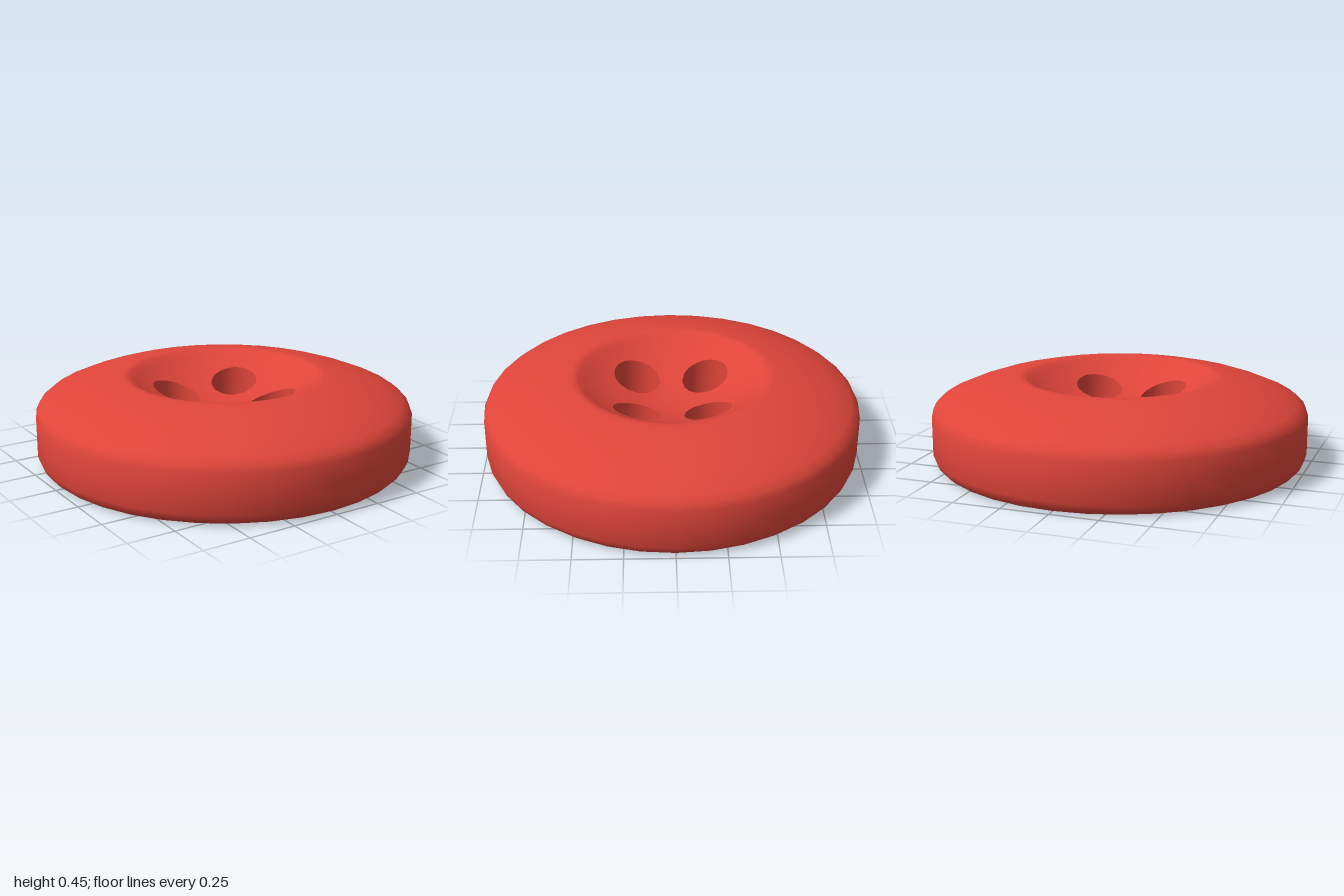
import * as THREE from 'three';
import { mergeGeometries, mergeVertices, toCreasedNormals } from 'three/addons/utils/BufferGeometryUtils.js';

const DISH_R = 0.46;      // radius where the drilled centre meets the rim
const HOLE_C = 0.185;     // hole centre offset along x and z
const HOLE_R = 0.125;

// Height of the spherical dish in the top face
const dishY = (r) => 0.28 + 0.82 - Math.sqrt(0.82 * 0.82 - r * r);

// Turned rim: underside, rounded edge, sloping top and lip of the dish
function rimGeometry() {
  const profile = [
    [DISH_R, 0], [0.94, 0], [0.965, 0.006], [0.985, 0.025], [1, 0.06],
    [1, 0.165], [1, 0.27], [0.985, 0.303], [0.95, 0.332], [0.85, 0.375],
    [0.75, 0.409], [0.64, 0.436], [0.54, 0.453], [0.515, 0.454], [0.495, 0.445],
    [DISH_R, dishY(DISH_R)],
  ].map(([r, y]) => new THREE.Vector2(r, y));
  const g = new THREE.LatheGeometry(profile, 36);
  g.deleteAttribute('uv');
  g.deleteAttribute('normal');
  return g;
}

// One quarter of the centre: dish, hole wall and underside as one strip of loops
function quarterGeometry() {
  const edge = [];
  for (let i = 0; i <= 9; i++) {
    const a = (i * Math.PI) / 18;
    edge.push([DISH_R * Math.cos(a), DISH_R * Math.sin(a)]);
  }
  for (let i = 1; i <= 5; i++) edge.push([0, DISH_R * (1 - i / 5)]);
  for (let i = 1; i <= 4; i++) edge.push([DISH_R * (i / 5), 0]);

  const loops = [];
  for (const t of [1, 0.75, 0.5, 0.25, 0]) loops.push({ t, top: true });
  for (const t of [0, 0.5, 1]) loops.push({ t, top: false });

  const n = edge.length, pos = [], index = [];
  loops.forEach(({ t, top }, k) => {
    edge.forEach(([ex, ez], i) => {
      const a = Math.atan2(ez - HOLE_C, ex - HOLE_C);
      const x = THREE.MathUtils.lerp(HOLE_C + HOLE_R * Math.cos(a), ex, t);
      const z = THREE.MathUtils.lerp(HOLE_C + HOLE_R * Math.sin(a), ez, t);
      pos.push(x, top ? dishY(Math.hypot(x, z)) : 0, z);
      if (k === loops.length - 1) return;
      const p = k * n + i, q = k * n + ((i + 1) % n);
      index.push(p, p + n, q, q, p + n, q + n);
    });
  });
  const g = new THREE.BufferGeometry();
  g.setAttribute('position', new THREE.Float32BufferAttribute(pos, 3));
  g.setIndex(index);
  return g;
}

export function createModel() {
  const parts = [rimGeometry()];
  for (let i = 0; i < 4; i++) parts.push(quarterGeometry().rotateY((i * Math.PI) / 2));

  // Weld everything, keeping only the hole edges sharp
  const welded = mergeVertices(mergeGeometries(parts), 1e-4);
  const geometry = toCreasedNormals(welded, 0.85);

  const button = new THREE.Mesh(geometry, new THREE.MeshStandardMaterial({ color: 0xe0453a }));
  button.name = 'buttonBody';

  const group = new THREE.Group();
  group.name = 'button';
  group.add(button);
  return group;
}
